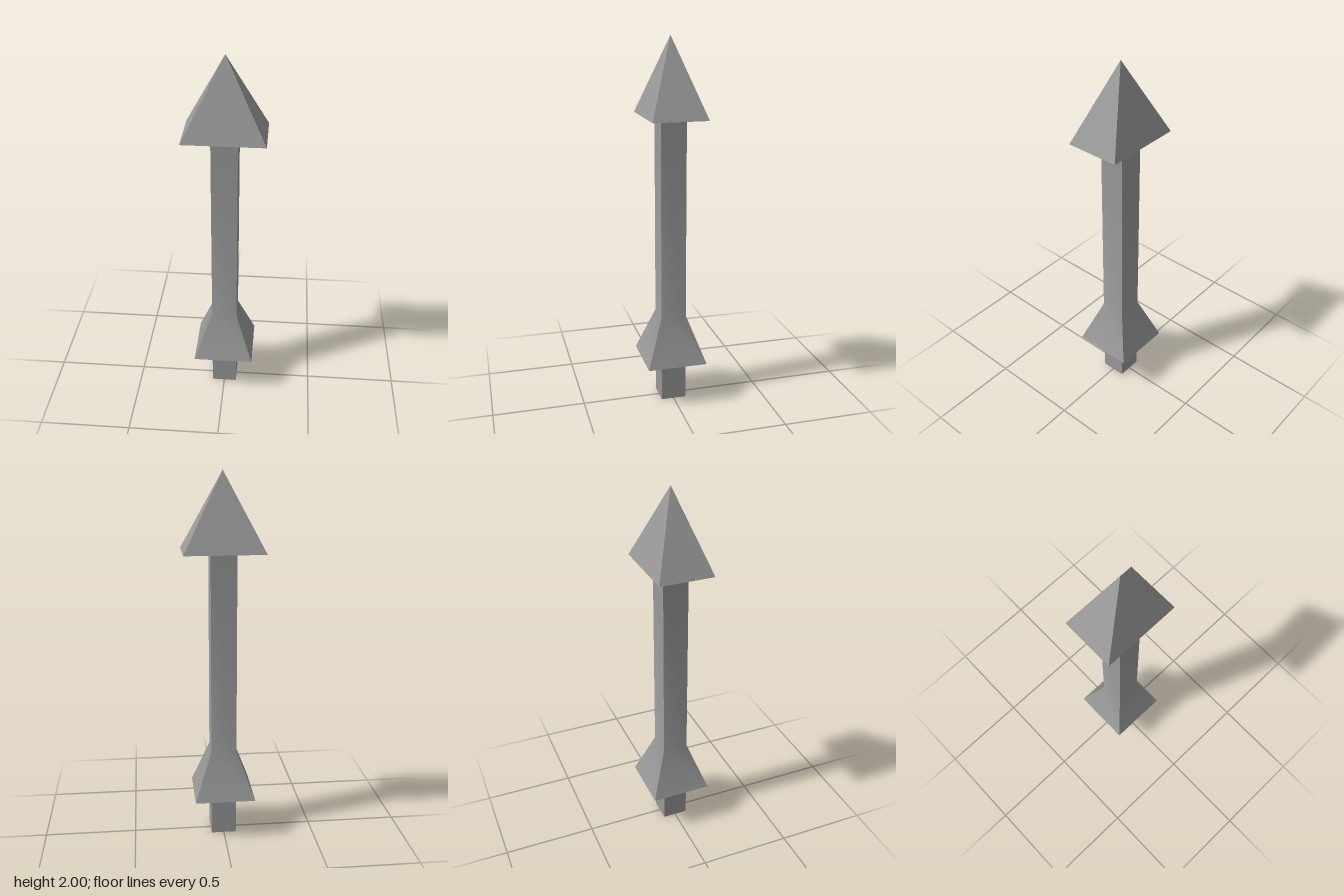
import * as THREE from 'three';
import { toCreasedNormals } from 'three/addons/utils/BufferGeometryUtils.js';

const material = new THREE.MeshStandardMaterial({ color: 0x999999 });

// Square-sectioned part from a [half width, y] profile, listed bottom to top
function squarePart(name, profile, depthRatio = 1) {
  const points = profile.map(([half, y]) => new THREE.Vector2(half * Math.SQRT2, y));
  const geometry = new THREE.LatheGeometry(points, 4, Math.PI / 4);
  geometry.scale(1, 1, depthRatio);
  const mesh = new THREE.Mesh(toCreasedNormals(geometry, Math.PI / 6), material);
  mesh.name = name;
  return mesh;
}

export function createModel() {
  const group = new THREE.Group();
  group.name = 'arrow';

  // Shaft with a flared collar near the foot
  group.add(squarePart('shaft', [
    [0, 0], [0.069, 0], [0.069, 0.198], [0.164, 0.235], [0.069, 0.495], [0.069, 1.59],
  ]));

  // Pyramid head, wider than it is deep
  group.add(squarePart('head', [[0, 1.59], [0.213, 1.59], [0, 2]], 0.147 / 0.213));

  return group;
}
